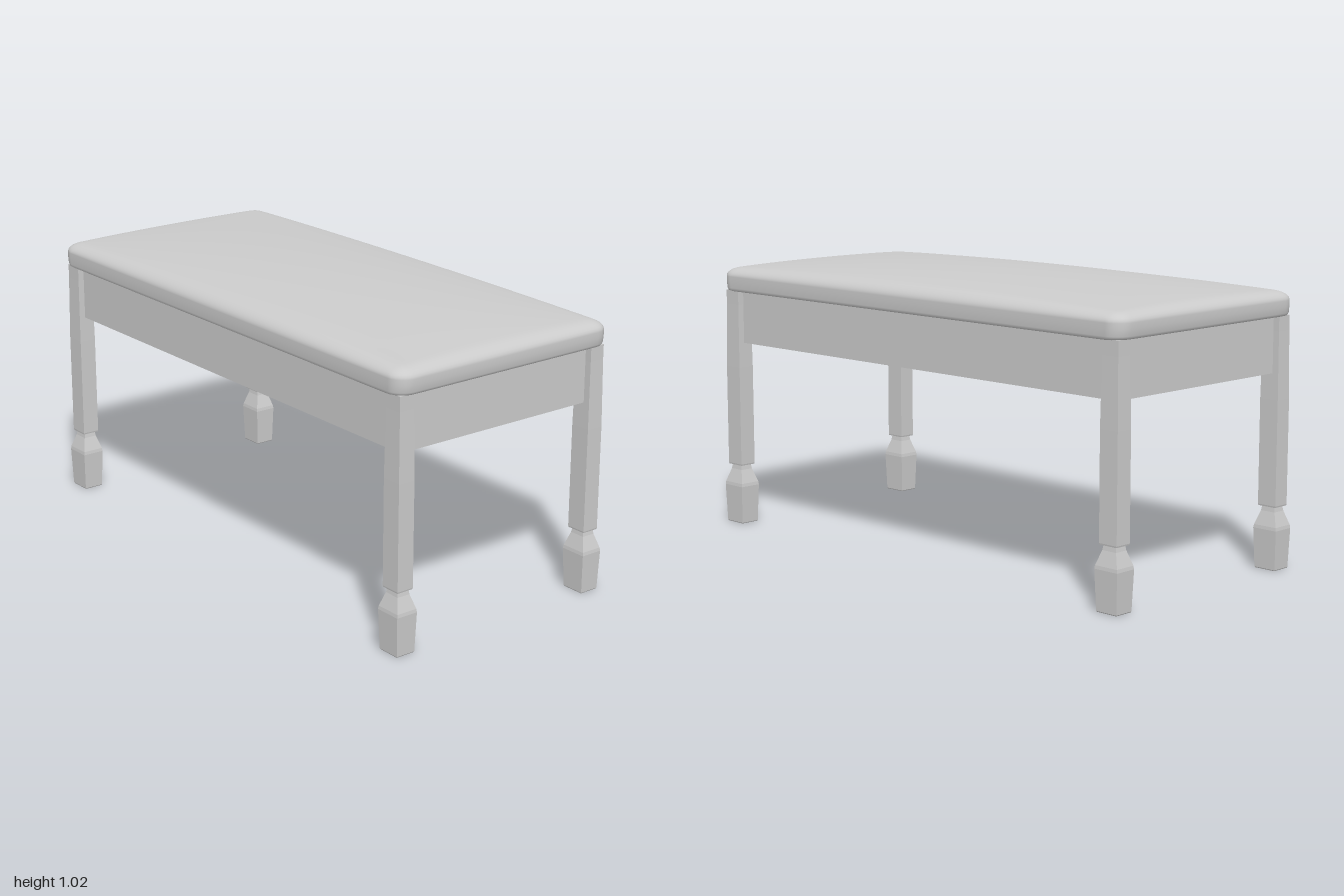
import * as THREE from 'three';

const grey = (extra = {}) => new THREE.MeshStandardMaterial({ color: 0xcccccc, ...extra });

// Rounded-rectangle outline, running from +x towards +z
function outline(hx, hz, r, edge = 20, arc = 6) {
  const centres = [[hx - r, hz - r], [r - hx, hz - r], [r - hx, r - hz], [hx - r, r - hz]];
  const pts = [];
  centres.forEach(([cx, cz], k) => {
    for (let i = 0; i <= arc; i++) {
      const a = (k + i / arc) * Math.PI / 2;
      pts.push([cx + r * Math.cos(a), cz + r * Math.sin(a)]);
    }
    const [x0, z0] = pts[pts.length - 1];
    const a = (k + 1) * Math.PI / 2;
    const [nx, nz] = centres[(k + 1) % 4];
    const x1 = nx + r * Math.cos(a), z1 = nz + r * Math.sin(a);
    for (let i = 1; i < edge; i++) {
      pts.push([x0 + (x1 - x0) * i / edge, z0 + (z1 - z0) * i / edge]);
    }
  });
  return pts;
}

// Upholstered cushion: a rim, then concentric rings over a rounded edge and low crown
function cushion() {
  const hx = 1, hz = 0.46, r = 0.06, base = 0.945;
  const ring = outline(hx, hz, r);
  const height = (x, z) => {
    const ax = Math.abs(x), az = Math.abs(z);
    const t = Math.hypot(Math.max(ax - hx + r, 0), Math.max(az - hz + r, 0)) / r;
    const fillet = Math.sqrt(1 - Math.min(t, 1) ** 2);
    const crown = ((1 - (ax / hx) ** 2) * (1 - (az / hz) ** 2)) ** 0.7;
    return base + 0.03 * fillet + 0.045 * crown;
  };
  const rows = [[0.983, 0.89], [0.993, 0.893], [0.998, 0.902], [1, 0.925], [1, base]];
  const steps = 28;
  for (let i = 1; i <= steps; i++) rows.push([Math.cos(i / steps * Math.PI / 2), null]);
  const pos = [], idx = [], n = ring.length;
  for (const [s, y] of rows) {
    for (const [x, z] of ring) pos.push(x * s, y ?? height(x * s, z * s), z * s);
  }
  for (let j = 0; j < rows.length - 1; j++) {
    for (let i = 0; i < n; i++) {
      const a = j * n + i, b = j * n + (i + 1) % n;
      idx.push(a, a + n, b, b, a + n, b + n);
    }
  }
  const geo = new THREE.BufferGeometry();
  geo.setAttribute('position', new THREE.Float32BufferAttribute(pos, 3));
  geo.setIndex(idx);
  geo.computeVertexNormals();
  // The rings collapse to one point at the crown
  const normals = geo.attributes.normal;
  for (let i = (rows.length - 1) * n; i < rows.length * n; i++) normals.setXYZ(i, 0, 1, 0);
  return geo;
}

// Plan of the apron, stepping in around each leg
const ax = 0.965, az = 0.425, ix = 0.908, iz = 0.379;
const apronPlan = [
  [ax, iz], [ix, iz], [ix, az], [-ix, az], [-ix, iz], [-ax, iz],
  [-ax, -iz], [-ix, -iz], [-ix, -az], [ix, -az], [ix, -iz], [ax, -iz],
];

// Thin upright skirt along the plan
function apron() {
  const low = 0.694, high = 0.892, pos = [];
  apronPlan.forEach(([x0, z0], i) => {
    const [x1, z1] = apronPlan[(i + 1) % apronPlan.length];
    pos.push(x0, low, z0, x0, high, z0, x1, low, z1);
    pos.push(x1, low, z1, x0, high, z0, x1, high, z1);
  });
  const geo = new THREE.BufferGeometry();
  geo.setAttribute('position', new THREE.Float32BufferAttribute(pos, 3));
  geo.computeVertexNormals();
  return geo;
}

// Flat sheet facing down at a given height
function panel(plan, y) {
  const geo = new THREE.ShapeGeometry(new THREE.Shape(plan.map(([x, z]) => new THREE.Vector2(x, z))));
  geo.rotateX(Math.PI / 2);
  geo.translate(0, y, 0);
  return geo;
}

// Square leg shaped by a profile of half-widths and heights
function legGeometry() {
  const profile = [
    [0, 0], [0.0355, 0], [0.037, 0.003], [0.0415, 0.143], [0.04, 0.155],
    [0.025, 0.205], [0.0225, 0.222], [0.031, 0.223], [0.032, 0.228],
    [0.032, 0.6], [0.029, 0.84], [0.029, 0.892], [0, 0.892],
  ].map(([w, y]) => new THREE.Vector2(w * Math.SQRT2, y));
  const geo = new THREE.LatheGeometry(profile, 4, Math.PI / 4);
  geo.scale(1.18, 1, 1);
  return geo;
}

export function createModel() {
  const model = new THREE.Group();
  model.name = 'bench';
  const add = (name, geo, mat) => {
    const mesh = new THREE.Mesh(geo, mat);
    mesh.name = name;
    model.add(mesh);
    return mesh;
  };

  add('seatCushion', cushion(), grey());
  add('seatUnderside', panel(outline(0.983, 0.452, 0.059), 0.89), grey());
  add('apron', apron(), grey({ side: THREE.DoubleSide }));
  add('seatBoard', panel(apronPlan, 0.85), grey());

  const leg = legGeometry();
  const legMaterial = grey({ flatShading: true });
  for (const [end, sx] of [['Left', 1], ['Right', -1]]) {
    for (const [face, sz] of [['front', 1], ['back', -1]]) {
      add(face + end + 'Leg', leg, legMaterial).position.set(sx * 0.949, 0, sz * 0.415);
    }
  }
  return model;
}
